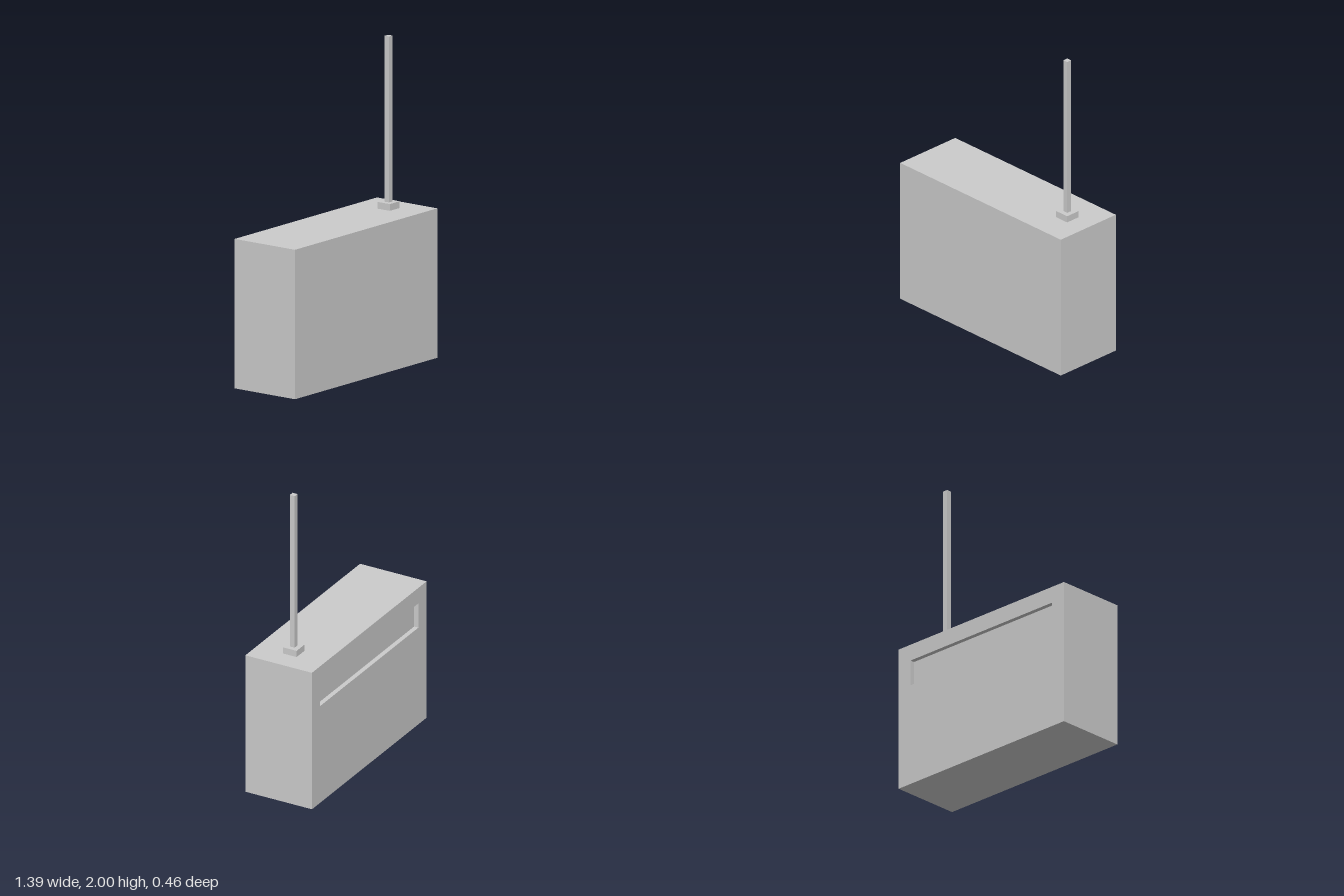
import * as THREE from 'three';
import { mergeGeometries } from 'three/addons/utils/BufferGeometryUtils.js';

const W = 1.39, H = 0.928, D = 0.464;                  // body
const SLOT = { w: 1.19, h: 0.165, y: 0.74, depth: 0.03 };
const ROD_X = 0.513;

// Box without its back (-z) face
function openBox(w, h, d) {
  const g = new THREE.BoxGeometry(w, h, d);
  g.setIndex(Array.from(g.index.array).slice(0, 30));
  return g;
}

function rectangle(path, w, h, y) {
  path.moveTo(-w / 2, y - h / 2);
  path.lineTo(w / 2, y - h / 2);
  path.lineTo(w / 2, y + h / 2);
  path.lineTo(-w / 2, y + h / 2);
  path.closePath();
  return path;
}

function bodyGeometry() {
  const shell = openBox(W, H, D).translate(0, H / 2, 0);

  // Back face with the slot cut out
  const shape = rectangle(new THREE.Shape(), W, H, H / 2);
  shape.holes.push(rectangle(new THREE.Path(), SLOT.w, SLOT.h, SLOT.y));
  const back = new THREE.ShapeGeometry(shape).rotateY(Math.PI).translate(0, 0, -D / 2);

  // Slot walls and floor: an open box mirrored so it faces inwards
  const recess = openBox(SLOT.w, SLOT.h, SLOT.depth).scale(-1, 1, 1);
  recess.computeVertexNormals();
  recess.translate(0, SLOT.y, -D / 2 + SLOT.depth / 2);

  return mergeGeometries([shell, back, recess]);
}

export function createModel() {
  const group = new THREE.Group();
  const material = new THREE.MeshStandardMaterial({ color: 0xcccccc });
  const add = (name, geometry) => {
    const mesh = new THREE.Mesh(geometry, material);
    mesh.name = name;
    group.add(mesh);
  };
  // Square post standing between two heights
  const post = (width, y0, y1) =>
    new THREE.BoxGeometry(width, y1 - y0, width).translate(ROD_X, (y0 + y1) / 2, 0);

  add('body', bodyGeometry());
  add('antennaBase', post(0.096, H, 0.97));
  add('antennaRod', post(0.034, 0.97, 2));
  return group;
}
